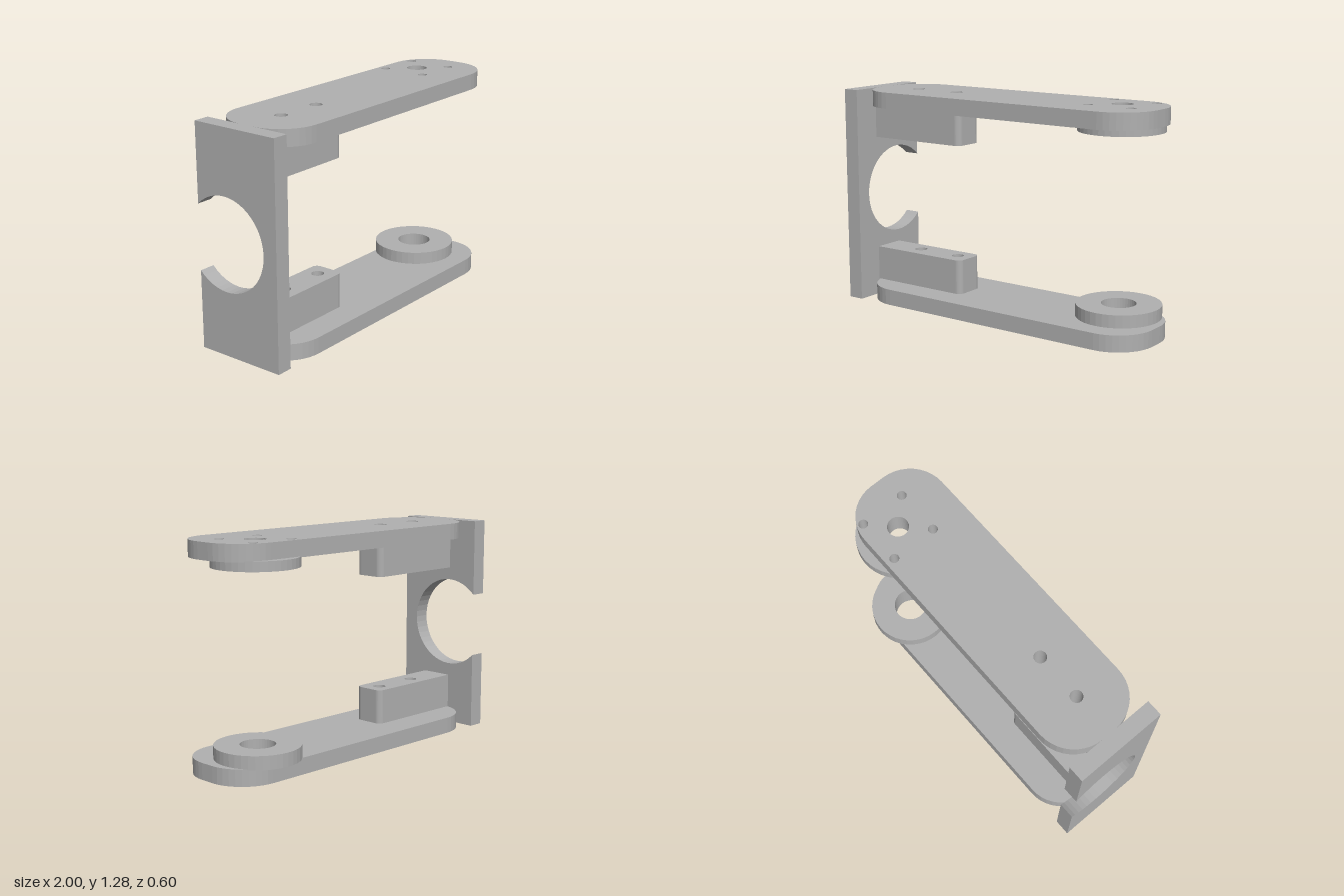
import * as THREE from 'three';

const grey = new THREE.MeshStandardMaterial({ color: 0xb0b0b0 });
grey.name = 'plain grey';

// Shared layout: pivot at the free end of the arms, screw holes in the blocks
const PIVOT = [0.712, -0.057];
const boltHoles = [-1, 1].flatMap(i => [-1, 1].map(j => [PIVOT[0] + i * 0.135, PIVOT[1] + j * 0.135, 0.027]));
const screwHoles = [-0.645, -0.36].map(x => [x, 0.035, 0.036]);

// Circle made of quarter arcs, so every curve gets evenly sized facets
function circle(path, x, z, r) {
  for (let i = 0; i < 4; i++) path.absarc(x, -z, r, i * Math.PI / 2, (i + 1) * Math.PI / 2, false);
  return path;
}

// Rectangle in plan with separate corner radii at the -x and +x ends
function roundedRect(x0, x1, z0, z1, rLeft, rRight) {
  const s = new THREE.Shape();
  const corner = (x, y, r, quarter, cornerX, cornerY) => {
    if (r > 0) s.absarc(x, y, r, quarter * Math.PI / 2, (quarter + 1) * Math.PI / 2, false);
    else if (s.curves.length) s.lineTo(cornerX, cornerY);
    else s.moveTo(cornerX, cornerY);
  };
  corner(x1 - rRight, -z0 - rRight, rRight, 0, x1, -z0);
  corner(x0 + rLeft, -z0 - rLeft, rLeft, 1, x0, -z0);
  corner(x0 + rLeft, -z1 + rLeft, rLeft, 2, x0, -z1);
  corner(x1 - rRight, -z1 + rRight, rRight, 3, x1, -z1);
  s.closePath();
  return s;
}

// Extrude a plan shape upward from y0 to y1, with round holes [x, z, r]
function slab(name, shape, y0, y1, holes) {
  for (const h of holes) shape.holes.push(circle(new THREE.Path(), ...h));
  const geo = new THREE.ExtrudeGeometry(shape, { depth: y1 - y0, bevelEnabled: false, curveSegments: 5 });
  geo.rotateX(-Math.PI / 2).translate(0, y0, 0);
  const mesh = new THREE.Mesh(geo, grey);
  mesh.name = name;
  return mesh;
}

// Arm plate with its clamp block and pivot boss
function arm(name, plateY, blockY, bossY, bore, bossHoles) {
  const g = new THREE.Group();
  g.name = name;
  const pivotHole = [...PIVOT, bore];
  g.add(
    slab('armPlate', roundedRect(-0.905, 1, -0.245, 0.3, 0.23, 0.23), ...plateY, [pivotHole, ...boltHoles, ...screwHoles]),
    slab('clampBlock', roundedRect(-0.905, -0.265, -0.055, 0.135, 0, 0.035), ...blockY, screwHoles),
    slab('pivotBoss', circle(new THREE.Shape(), ...PIVOT, 0.243), ...bossY, [pivotHole, ...bossHoles])
  );
  return g;
}

export function createModel() {
  const model = new THREE.Group();
  model.name = 'bracket';

  // End wall with a round notch open to the back
  const wall = new THREE.Shape();
  wall.moveTo(-0.245, 0);
  wall.lineTo(0.3, 0);
  wall.lineTo(0.3, 1.285);
  wall.lineTo(-0.245, 1.285);
  wall.absarc(-0.055, 0.643, 0.268, 0.75 * Math.PI, -0.75 * Math.PI, true);
  wall.closePath();
  const wallGeo = new THREE.ExtrudeGeometry(wall, { depth: 0.095, bevelEnabled: false, curveSegments: 18 });
  wallGeo.rotateY(-Math.PI / 2).translate(-0.905, 0, 0);
  const endWall = new THREE.Mesh(wallGeo, grey);
  endWall.name = 'endWall';
  model.add(endWall);

  // The lower boss covers the bolt holes; the upper one is drilled through
  model.add(arm('lowerArm', [0, 0.095], [0.095, 0.3], [0.09, 0.168], 0.1, []));
  model.add(arm('upperArm', [1.19, 1.285], [0.985, 1.19], [1.14, 1.195], 0.06, boltHoles));
  return model;
}
